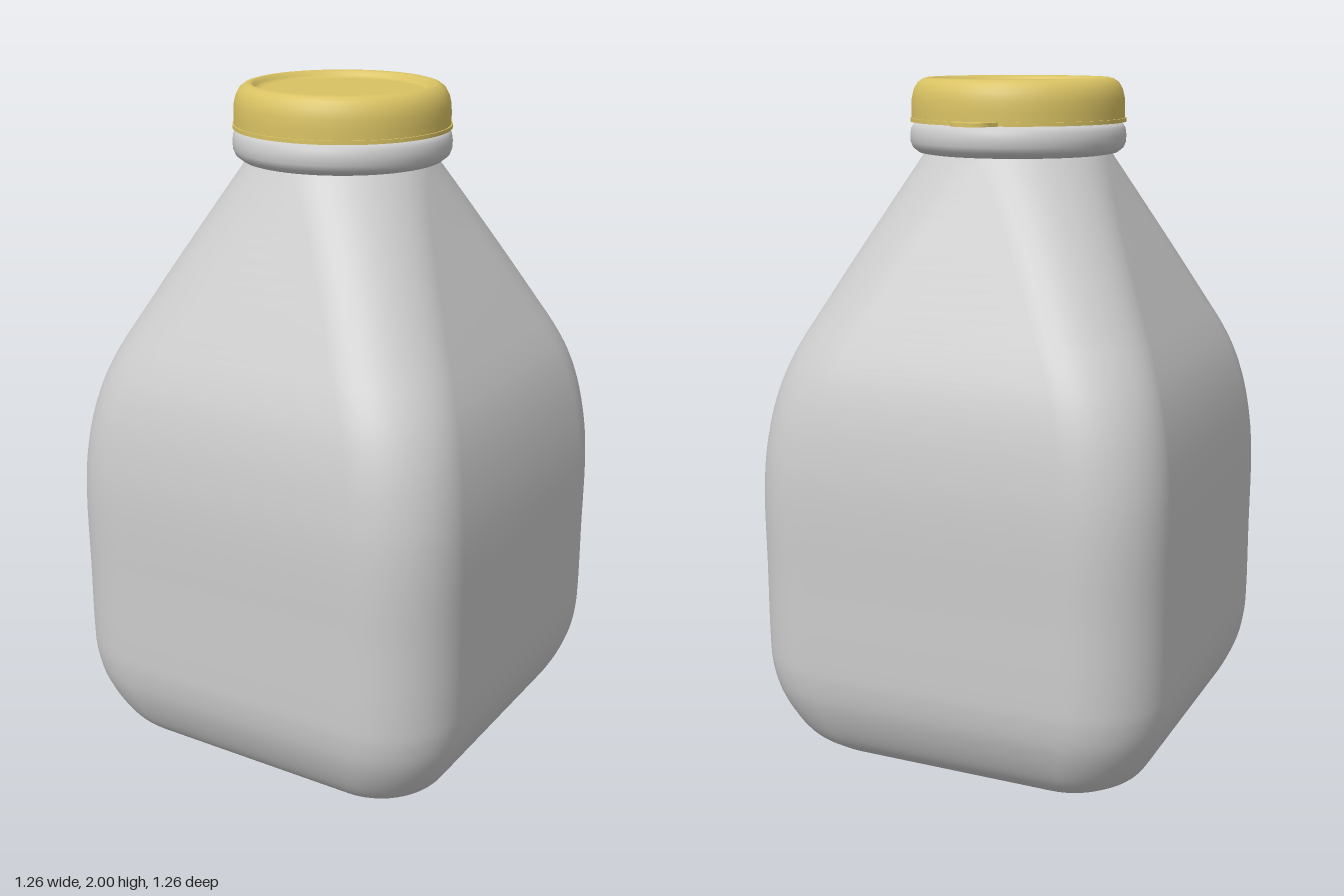
import * as THREE from 'three';

const glass = new THREE.MeshStandardMaterial({ color: 0xcccccc, side: THREE.DoubleSide });
const capMaterial = new THREE.MeshStandardMaterial({ color: 0xd9c263, side: THREE.DoubleSide });

// Outline of a rounded square with half width w and corner radius r.
function roundedSquare(w, r, steps = 12) {
  const ring = [];
  for (let corner = 0; corner < 4; corner++) {
    const mid = (corner + 0.5) * Math.PI / 2;
    const cx = Math.sign(Math.cos(mid)) * (w - r);
    const cz = Math.sign(Math.sin(mid)) * (w - r);
    for (let i = 0; i <= steps; i++) {
      const a = (corner + i / steps) * Math.PI / 2;
      ring.push([cx + r * Math.cos(a), cz + r * Math.sin(a)]);
    }
  }
  return ring;
}

// Smooth skin through rounded squares given as (half width, height, corner radius).
function loftBody(sections) {
  const positions = [], index = [];
  let n = 0;
  sections.forEach(({ x: w, y, z: r }, row) => {
    const ring = roundedSquare(w, Math.min(r, w - 0.002));
    n = ring.length;
    for (const [x, z] of ring) positions.push(x, y, z);
    if (row === 0) return;
    for (let i = 0; i < n; i++) {
      const a = (row - 1) * n + i, b = (row - 1) * n + (i + 1) % n;
      index.push(a, a + n, b, b, a + n, b + n);
    }
  });
  const geometry = new THREE.BufferGeometry();
  geometry.setAttribute('position', new THREE.Float32BufferAttribute(positions, 3));
  geometry.setIndex(index);
  geometry.computeVertexNormals();
  return geometry;
}

function lathe(points) {
  return new THREE.LatheGeometry(points.map(([r, y]) => new THREE.Vector2(r, y)), 64);
}

export function createModel() {
  const model = new THREE.Group();
  const add = (name, geometry, material) => {
    const mesh = new THREE.Mesh(geometry, material);
    mesh.name = name;
    model.add(mesh);
    return mesh;
  };

  // Square bottle that narrows to a round neck
  const profile = [
    [0.485, 0, 0.17], [0.535, 0.04, 0.19], [0.575, 0.1, 0.21], [0.612, 0.19, 0.225],
    [0.627, 0.27, 0.23], [0.63, 0.34, 0.23], [0.63, 0.57, 0.23], [0.63, 0.8, 0.23],
    [0.622, 0.93, 0.23], [0.602, 1.06, 0.23], [0.575, 1.16, 0.23], [0.543, 1.24, 0.23],
    [0.502, 1.325, 0.235], [0.425, 1.48, 0.24], [0.35, 1.63, 0.25], [0.275, 1.785, 0.273],
  ].map((p) => new THREE.Vector3(...p));
  const sections = new THREE.CatmullRomCurve3(profile).getPoints(60);
  add('bottleBody', loftBody(sections), glass);

  // Flat underside
  const base = new THREE.Shape(roundedSquare(0.485, 0.17).map(([x, z]) => new THREE.Vector2(x, z)));
  add('bottleBase', new THREE.ShapeGeometry(base), glass).rotation.x = Math.PI / 2;

  // Rounded lip around the mouth
  add('neckLip', lathe([
    [0.265, 1.78], [0.295, 1.785], [0.312, 1.798], [0.319, 1.815], [0.32, 1.835],
    [0.317, 1.855], [0.308, 1.868], [0.285, 1.874], [0.28, 1.885], [0.28, 1.9], [0, 1.9],
  ]), glass);

  // Cap with a rounded rim and a shallow sunken top
  add('cap', lathe([
    [0.28, 1.88], [0.315, 1.88], [0.315, 1.88], [0.315, 1.91], [0.314, 1.94],
    [0.308, 1.965], [0.297, 1.985], [0.282, 1.996], [0.268, 2], [0.259, 1.996],
    [0.253, 1.987], [0.246, 1.981], [0.235, 1.979], [0.235, 1.979], [0, 1.979],
  ]), capMaterial);

  // Thin flange and pull tab at the back
  add('capFlange', lathe([
    [0.275, 1.873], [0.319, 1.873], [0.319, 1.873], [0.319, 1.884], [0.319, 1.884], [0.3, 1.885],
  ]), capMaterial);
  const tab = new THREE.Shape();
  tab.moveTo(-0.08, 0.3);
  tab.quadraticCurveTo(-0.068, 0.32, -0.06, 0.338);
  tab.bezierCurveTo(-0.038, 0.384, 0.038, 0.384, 0.06, 0.338);
  tab.quadraticCurveTo(0.068, 0.32, 0.08, 0.3);
  const tabMesh = add('pullTab', new THREE.ExtrudeGeometry(tab, {
    depth: 0.011, bevelEnabled: false, curveSegments: 16,
  }), capMaterial);
  tabMesh.rotation.x = -Math.PI / 2;
  tabMesh.position.y = 1.873;

  return model;
}
